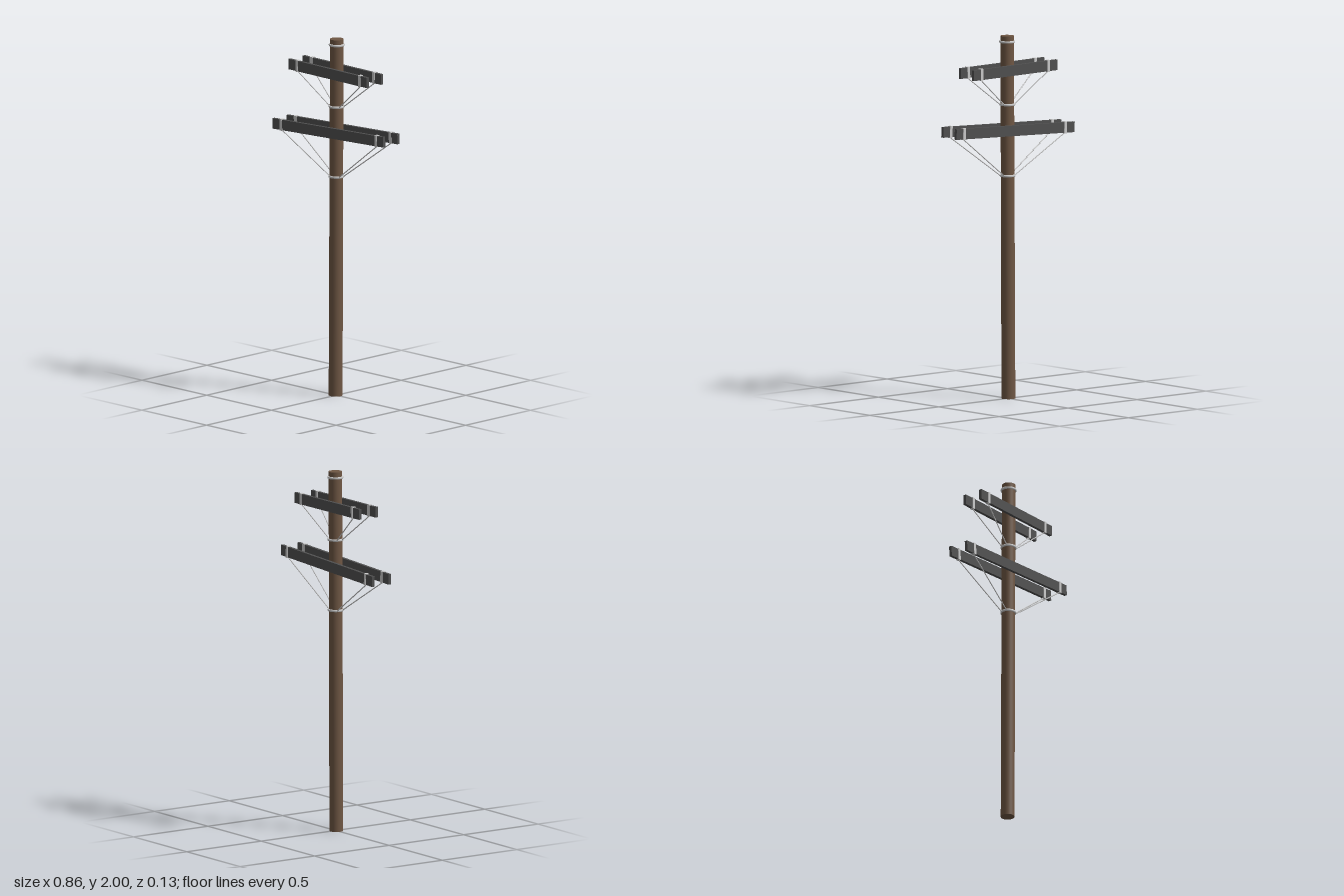
import * as THREE from 'three';

const wood = new THREE.MeshStandardMaterial({ color: 0x6f5744 });
const darkBeam = new THREE.MeshStandardMaterial({ color: 0x505050 });
const metal = new THREE.MeshStandardMaterial({ color: 0xcccccc });

const BEAM_Z = 0.055, BEAM_HEIGHT = 0.058, BEAM_DEPTH = 0.017;

// The pole leans slightly towards +x
const poleX = (y) => -0.005 + 0.0045 * y;

function add(parent, name, geometry, material, x = 0, y = 0, z = 0) {
  const mesh = new THREE.Mesh(geometry, material);
  mesh.name = name;
  mesh.position.set(x, y, z);
  parent.add(mesh);
  return mesh;
}

// Thin round rod between two points
function addRod(parent, name, a, b, radius) {
  const dir = b.clone().sub(a);
  const rod = add(parent, name, new THREE.CylinderGeometry(radius, radius, dir.length(), 8), metal);
  rod.position.copy(a).add(b).multiplyScalar(0.5);
  rod.quaternion.setFromUnitVectors(new THREE.Vector3(0, 1, 0), dir.normalize());
}

// Metal band around the pole
function addBand(parent, name, y) {
  const profile = [[0.036, -0.006], [0.042, -0.006], [0.044, -0.003], [0.044, 0.003], [0.042, 0.006], [0.036, 0.006]]
    .map(([r, h]) => new THREE.Vector2(r, h));
  add(parent, name, new THREE.LatheGeometry(profile, 24), metal, poleX(y), y, 0);
}

// Pair of crossarms with straps, braces and the band that holds the braces
function createCrossarm(name, { x, y, length, tilt, strapX, bandY }) {
  const group = new THREE.Group();
  group.name = name;
  for (const side of [1, -1]) {
    const arm = new THREE.Group();
    arm.name = side > 0 ? 'frontArm' : 'backArm';
    arm.position.set(x, y, side * BEAM_Z);
    arm.rotation.z = tilt;
    add(arm, 'beam', new THREE.BoxGeometry(length, BEAM_HEIGHT, BEAM_DEPTH), darkBeam);
    for (const sx of strapX) {
      add(arm, 'strap', new THREE.BoxGeometry(0.018, BEAM_HEIGHT + 0.007, BEAM_DEPTH + 0.004), metal, sx - x);
    }
    group.add(arm);

    for (const sx of strapX) {
      const top = new THREE.Vector3(sx, y + (sx - x) * Math.tan(tilt) - BEAM_HEIGHT / 2 - 0.001, side * BEAM_Z);
      const foot = new THREE.Vector3(poleX(bandY) + Math.sign(sx) * 0.037, bandY, side * 0.017);
      addRod(group, 'brace', top, foot, 0.003);
    }
  }
  addBand(group, 'braceBand', bandY);
  return group;
}

export function createModel() {
  const model = new THREE.Group();
  model.name = 'utilityPole';

  // Round wooden pole, sheared so that its ends stay level
  const poleGeometry = new THREE.CylinderGeometry(0.037, 0.038, 2, 24, 4);
  poleGeometry.translate(0, 1, 0);
  const position = poleGeometry.attributes.position;
  for (let i = 0; i < position.count; i++) {
    position.setX(i, position.getX(i) + poleX(position.getY(i)));
  }
  add(model, 'pole', poleGeometry, wood);
  addBand(model, 'topBand', 1.968);

  model.add(createCrossarm('upperCrossarm', {
    x: -0.004, y: 1.815, length: 0.606, tilt: -0.008, strapX: [-0.241, 0.242], bandY: 1.622,
  }));
  model.add(createCrossarm('lowerCrossarm', {
    x: -0.002, y: 1.482, length: 0.856, tilt: 0.043, strapX: [-0.364, 0.37], bandY: 1.23,
  }));
  return model;
}
